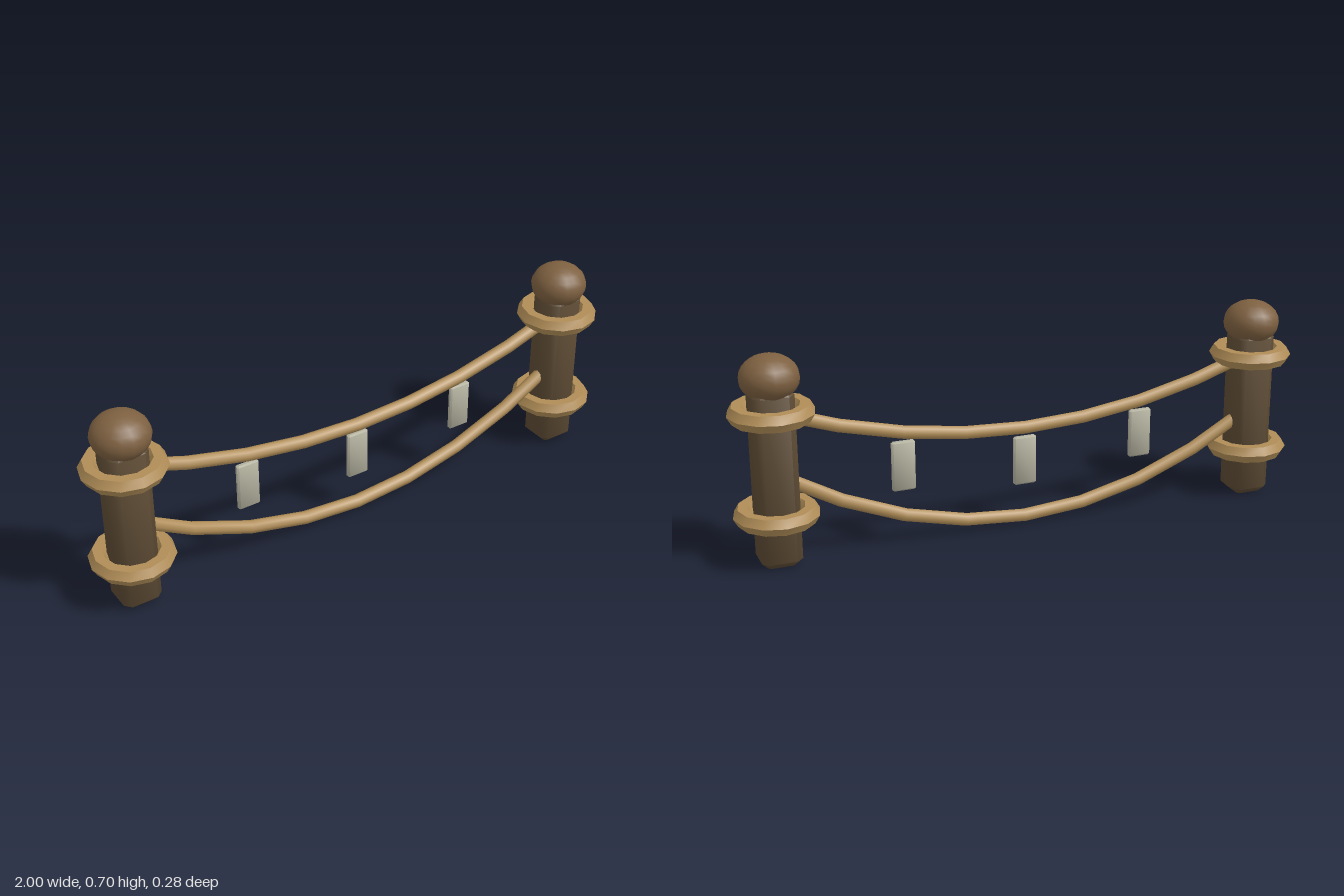
import * as THREE from 'three';
import { toCreasedNormals } from 'three/addons/utils/BufferGeometryUtils.js';

const material = (name, color) => {
  const m = new THREE.MeshStandardMaterial({ color });
  m.name = name;
  return m;
};

// Box with every edge chamfered by c, centred on the origin
function chamferedBox(w, h, d, c) {
  const x = w / 2, z = d / 2;
  const outline = [
    [x, -z + c], [x, z - c], [x - c, z], [-x + c, z],
    [-x, z - c], [-x, -z + c], [-x + c, -z], [x - c, -z],
  ].map(([a, b]) => new THREE.Vector2(a, b));
  const geo = new THREE.ExtrudeGeometry(new THREE.Shape(outline), {
    depth: h - 2 * c, bevelEnabled: true, bevelSegments: 1,
    bevelSize: c, bevelThickness: c, bevelOffset: -c,
  });
  geo.translate(0, 0, -(h - 2 * c) / 2);
  geo.rotateX(-Math.PI / 2);
  return toCreasedNormals(geo, 0.9);
}

// Sagging rope path, evenly stepped in x
class SagCurve extends THREE.Curve {
  constructor(halfSpan, low, high) {
    super();
    Object.assign(this, { halfSpan, low, high });
  }
  getPoint(t, target = new THREE.Vector3()) {
    const u = 2 * t - 1;
    return target.set(u * this.halfSpan, this.low + (this.high - this.low) * u * u, 0);
  }
  getPointAt(t, target) { return this.getPoint(t, target); }
  getTangentAt(t, target) { return this.getTangent(t, target); }
}

export function createModel() {
  const model = new THREE.Group();
  model.name = 'ropeFence';

  const postWood = material('darkWood', 0x5c4a33);
  const knobWood = material('knobWood', 0x7d6040);
  const ropeTan = material('rope', 0xb08d57);
  const cloth = material('paleCloth', 0xb5b3a0);

  const add = (parent, name, geo, mat, x, y, z = 0) => {
    const mesh = new THREE.Mesh(geo, mat);
    mesh.name = name;
    mesh.position.set(x, y, z);
    parent.add(mesh);
    return mesh;
  };

  const postX = 0.858;

  // Posts, each with a knob and two rope rings
  const postGeo = chamferedBox(0.135, 0.6, 0.135, 0.022);
  const knobGeo = new THREE.SphereGeometry(0.097, 16, 12).scale(1, 0.79, 1);
  const ringGeo = toCreasedNormals(
    new THREE.TorusGeometry(0.11, 0.032, 6, 12).rotateX(-Math.PI / 2), 0.75);
  for (const [side, sign] of [['left', 1], ['right', -1]]) {
    const group = new THREE.Group();
    group.name = side + 'Post';
    group.position.x = sign * postX;
    add(group, 'post', postGeo, postWood, 0, 0.302);
    add(group, 'knob', knobGeo, knobWood, 0, 0.63);
    add(group, 'upperRing', ringGeo, ropeTan, 0, 0.516);
    add(group, 'lowerRing', ringGeo, ropeTan, 0, 0.173);
    model.add(group);
  }

  // Ropes ending inside the posts
  const rope = (low, high) =>
    new THREE.TubeGeometry(new SagCurve(postX, low, high), 8, 0.023, 8);
  add(model, 'upperRope', rope(0.35, 0.515), ropeTan, 0, 0);
  add(model, 'lowerRope', rope(0.031, 0.305), ropeTan, 0, 0);

  // Hanging tags
  const tagGeo = chamferedBox(0.08, 0.172, 0.02, 0.005);
  for (const [x, y] of [[-0.43, 0.275], [0, 0.234], [0.43, 0.275]]) {
    add(model, 'hangingTag', tagGeo, cloth, x, y);
  }

  return model;
}
